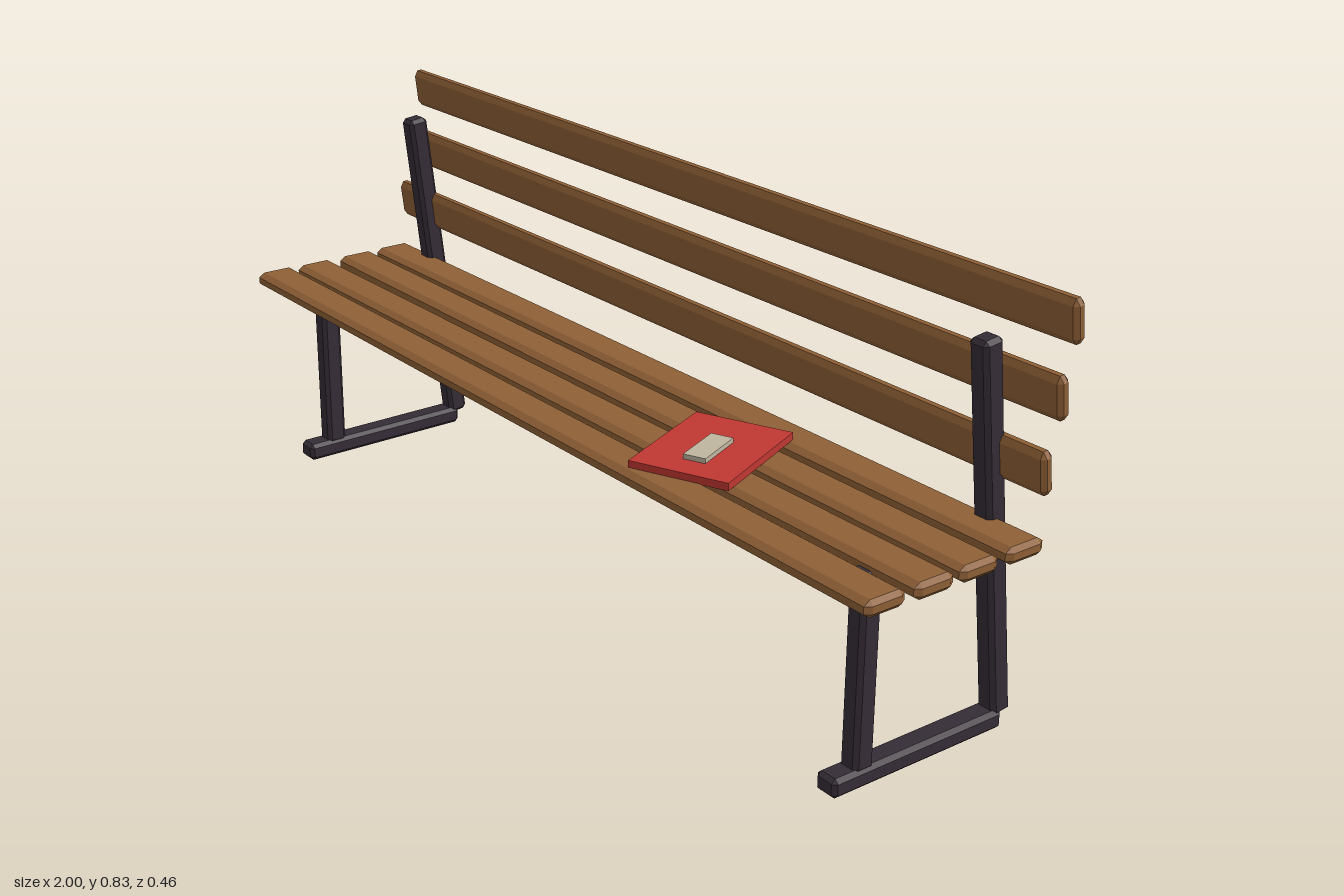
import * as THREE from 'three';
import { ConvexGeometry } from 'three/addons/geometries/ConvexGeometry.js';

const flat = (name, color) => {
  const m = new THREE.MeshStandardMaterial({ color });
  m.name = name;
  return m;
};

// Box with all edges and corners cut back by a separate amount per axis
function chamferedBox(size, cut) {
  const points = [];
  for (let axis = 0; axis < 3; axis++)
    for (const sx of [-1, 1]) for (const sy of [-1, 1]) for (const sz of [-1, 1]) {
      const p = [sx, sy, sz].map((s, i) => s * (size[i] / 2 - (i === axis ? 0 : cut[i])));
      points.push(new THREE.Vector3(...p));
    }
  return new ConvexGeometry(points);
}

export function createModel() {
  const wood = flat('wood', 0x8f6036);
  const iron = flat('dark iron', 0x352d36);
  const red = flat('red cover', 0xc03732);
  const paper = flat('paper label', 0xbfb5a0);

  const bench = new THREE.Group();
  bench.name = 'bench';
  const add = (name, geometry, material, x, y, z) => {
    const mesh = new THREE.Mesh(geometry, material);
    mesh.name = name;
    mesh.position.set(x, y, z);
    bench.add(mesh);
    return mesh;
  };

  // Seat slats, very slightly uneven
  const seatSlat = chamferedBox([2, 0.032, 0.088], [0.008, 0.009, 0.013]);
  [[0.188, 0.408], [0.084, 0.406], [-0.021, 0.406], [-0.124, 0.407]].forEach(([z, y], i) => {
    const slat = add('seatSlat' + (i + 1), seatSlat, wood, 0, y, z);
    slat.rotation.y = i % 2 ? 0.002 : -0.002;
  });

  // Back slats share the lean of the rear posts
  const lean = 0.118;
  const backSlat = chamferedBox([2, 0.082, 0.026], [0.008, 0.012, 0.008]);
  [[0.535, -0.165], [0.662, -0.19], [0.79, -0.213]].forEach(([y, z], i) => {
    const slat = add('backSlat' + (i + 1), backSlat, wood, 0, y, z);
    slat.rotation.set(lean, 0, 0.002);
  });

  // Side frames: foot bar, front leg and leaning rear post
  const foot = chamferedBox([0.05, 0.038, 0.4], [0.008, 0.008, 0.008]);
  const leg = chamferedBox([0.043, 0.375, 0.045], [0.008, 0.008, 0.008]);
  const post = chamferedBox([0.043, 0.73, 0.045], [0.008, 0.008, 0.008]);
  for (const [side, s] of [['left', 1], ['right', -1]]) {
    add(side + 'Foot', foot, iron, s * 0.88, 0.02, -0.005);
    add(side + 'FrontLeg', leg, iron, s * 0.88, 0.218, 0.123);
    add(side + 'RearPost', post, iron, s * 0.88, 0.39, -0.165).rotation.x = lean;
  }

  // Book lying on the seat with a raised label
  const turn = 0.41;
  add('bookCover', new THREE.BoxGeometry(0.2, 0.015, 0.263), red, 0.4, 0.43, 0.055).rotation.y = turn;
  add('bookLabel', new THREE.BoxGeometry(0.045, 0.0095, 0.11), paper, 0.412, 0.4422, 0.073).rotation.y = turn;

  return bench;
}
